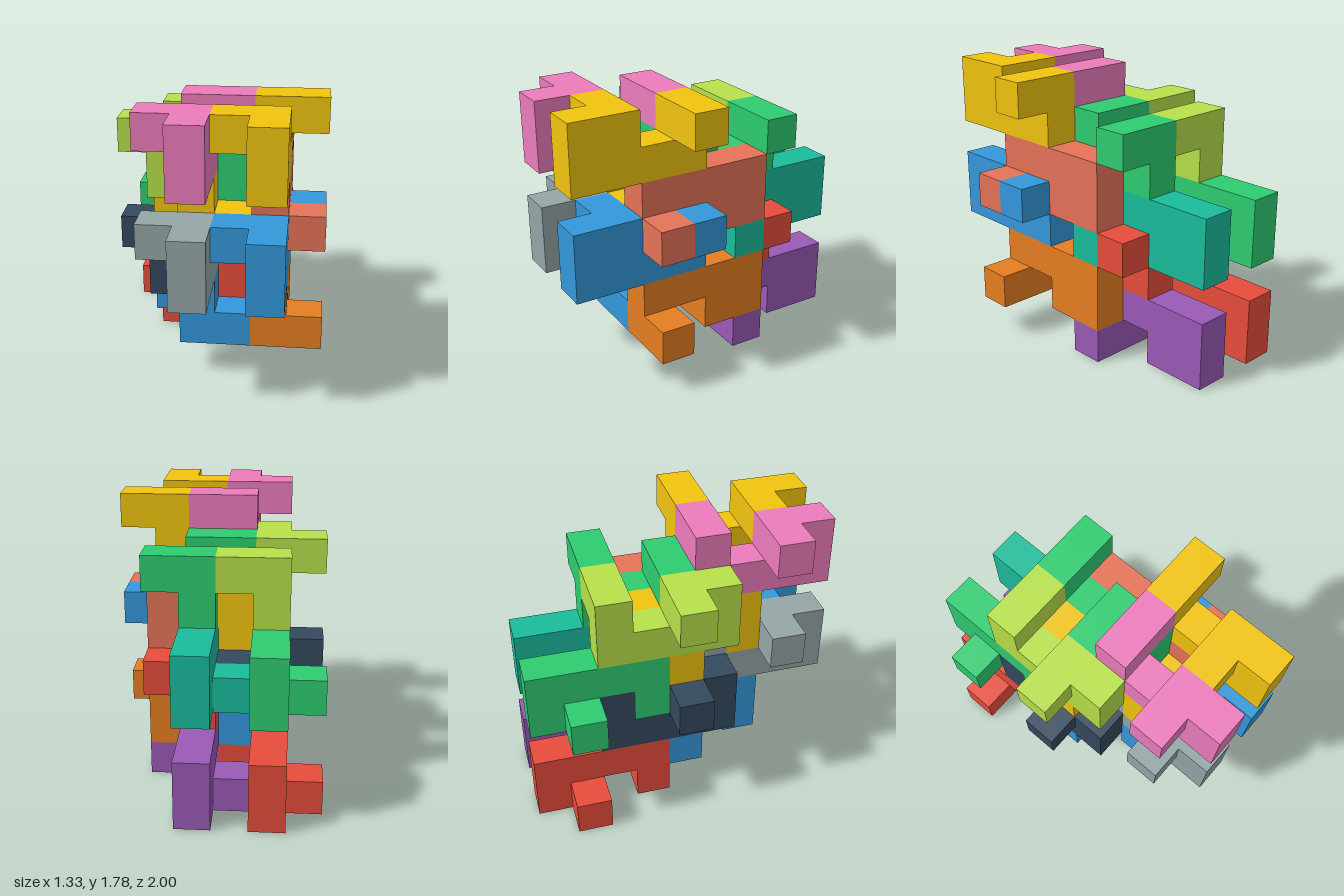
import * as THREE from 'three';
import { mergeGeometries } from 'three/addons/utils/BufferGeometryUtils.js';

const UNIT = 2 / 9; // edge of one cube cell

// One nine-cell block: a notched profile one cell thick, with a knob on each side.
function blockGeometry() {
  const profile = new THREE.Shape(
    [[0, 0], [4, 0], [4, 2], [2, 2], [2, 1], [1, 1], [1, 2], [0, 2]].map(([z, y]) => new THREE.Vector2(z, y))
  );
  const spine = new THREE.ExtrudeGeometry(profile, { depth: 1, bevelEnabled: false });
  spine.rotateY(-Math.PI / 2).translate(1, 0, 0);
  const knob = (x, y, z) => new THREE.BoxGeometry(1, 1, 1).toNonIndexed().translate(x + 0.5, y + 0.5, z + 0.5);
  return mergeGeometries([spine, knob(1, 1, 0), knob(-1, 1, 2)]);
}

// Upright blocks: cell of the spine's back end (x, y, z) and color
const UPRIGHT = [
  ['pinkBlock', 2, 6, 5, 0xec7cbc],
  ['topGoldBlock', 4, 6, 5, 0xf1c40f],
  ['grayBlock', 2, 3, 5, 0x95a5a6],
  ['frontBlueBlock', 4, 3, 5, 0x3498db],
  ['limeBlock', 1, 5, 2, 0xb8e04a],
  ['upperGreenBlock', 3, 5, 2, 0x2ecc71],
  ['navyBlock', 1, 2, 2, 0x34495e],
  ['middleRedBlock', 3, 2, 2, 0xe74c3c],
];

// Inverted blocks: cell of the spine's front end (x, y, z) and color
const INVERTED = [
  ['coralBlock', 4, 5, 6, 0xe57358],
  ['innerGoldBlock', 2, 5, 6, 0xf1c40f],
  ['orangeBlock', 4, 2, 6, 0xe67e22],
  ['lowerBlueBlock', 2, 2, 6, 0x3498db],
  ['tealBlock', 3, 4, 3, 0x1abc9c],
  ['backGreenBlock', 1, 4, 3, 0x2ecc71],
  ['purpleBlock', 3, 1, 3, 0x9b59b6],
  ['baseRedBlock', 1, 1, 3, 0xe74c3c],
];

export function createModel() {
  const model = new THREE.Group();
  model.name = 'interlockingBlocks';
  const geometry = blockGeometry();

  const addBlock = (name, x, y, z, color, inverted) => {
    const block = new THREE.Mesh(geometry, new THREE.MeshStandardMaterial({ color }));
    block.name = name;
    const shift = inverted ? 1 : 0; // half turn about x swaps cell corners
    block.rotation.x = inverted ? Math.PI : 0;
    block.position.set(x - 3, y + shift, z + shift - 4.5).multiplyScalar(UNIT);
    block.scale.setScalar(UNIT);
    model.add(block);
  };

  for (const b of UPRIGHT) addBlock(...b, false);
  for (const b of INVERTED) addBlock(...b, true);
  return model;
}
